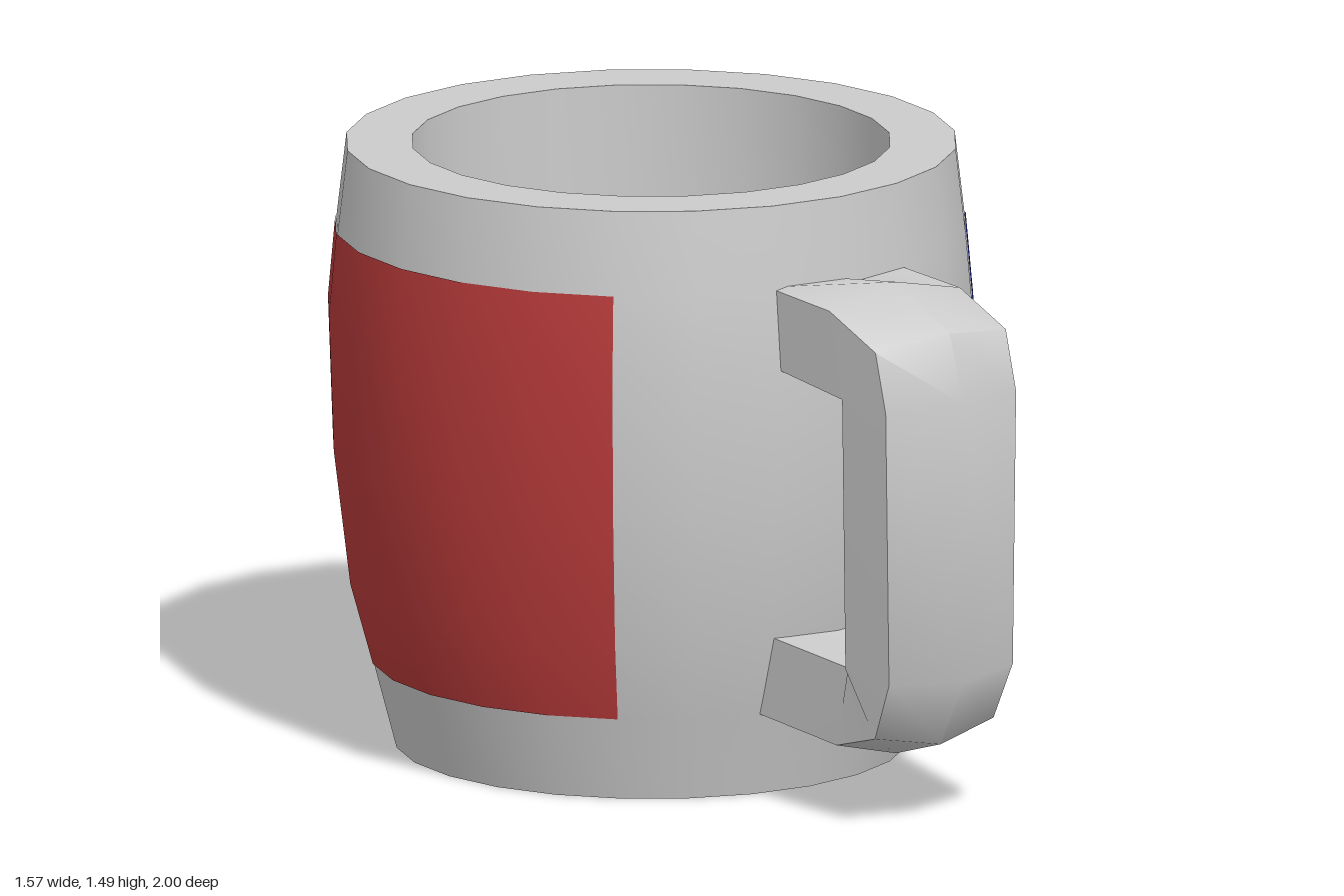
import * as THREE from 'three';
import { toCreasedNormals } from 'three/addons/utils/BufferGeometryUtils.js';

const SIDES = 24;
const CUP_Z = -0.22;
const FILL_Y = 0.6;
const material = (color, side = THREE.FrontSide) => new THREE.MeshStandardMaterial({ color, side });

// Barrel-shaped outer wall, [radius, height]
const WALL = [[0.62, 0], [0.675, 0.21], [0.73, 0.41], [0.77, 0.74], [0.782, 1.08], [0.764, 1.28], [0.74, 1.485]];

function addMesh(group, name, geometry, mat) {
  const mesh = new THREE.Mesh(geometry, mat);
  mesh.name = name;
  group.add(mesh);
  return mesh;
}

function lathe(points, segments, start, length) {
  return new THREE.LatheGeometry(points.map(([r, y]) => new THREE.Vector2(r, y)), segments, start, length);
}

// Ridged handle: hexagonal sections swept from the upper joint to the lower one
function handleGeometry() {
  // half width, then [z, y] of outer ridge, outer edge, inner edge, inner ridge
  const innerTop = [[0.78, 1.06], [0.73, 1.06]];
  const innerBottom = [[0.78, 0.39], [0.73, 0.39]];
  const stations = [
    [0.195, [0.48, 1.277], [0.48, 1.282], [0.48, 1.09], [0.48, 1.09]],
    [0.2, [0.74, 1.315], [0.73, 1.27], ...innerTop],
    [0.2, [0.945, 1.225], [0.91, 1.2], ...innerTop],
    [0.2, [1.0, 1.06], [0.95, 1.055], ...innerTop],
    [0.19, [1.0, 0.37], [0.95, 0.38], ...innerBottom],
    [0.182, [0.91, 0.2], [0.885, 0.235], ...innerBottom],
    [0.178, [0.735, 0.145], [0.73, 0.19], ...innerBottom],
    [0.178, [0.4, 0.217], [0.4, 0.213], [0.43, 0.413], [0.43, 0.413]],
  ];
  const rings = stations.map(([w, ridge, edge, inner, innerRidge]) => [
    [0, ridge], [w, edge], [w, inner], [0, innerRidge], [-w, inner], [-w, edge],
  ].map(([x, [z, y]]) => new THREE.Vector3(x, y, z)));

  const positions = [];
  const tri = (a, b, c) => {
    const area = b.clone().sub(a).cross(c.clone().sub(a)).length();
    if (area > 1e-6) for (const p of [a, b, c]) positions.push(p.x, p.y, p.z);
  };
  for (let i = 0; i < rings.length - 1; i++) {
    for (let j = 0; j < 6; j++) {
      const k = (j + 1) % 6;
      const [a, b, c, d] = [rings[i][j], rings[i][k], rings[i + 1][k], rings[i + 1][j]];
      tri(a, d, c);
      tri(a, c, b);
    }
  }
  const geometry = new THREE.BufferGeometry();
  geometry.setAttribute('position', new THREE.Float32BufferAttribute(positions, 3));
  return toCreasedNormals(geometry, THREE.MathUtils.degToRad(50));
}

export function createModel() {
  const group = new THREE.Group();
  group.name = 'mug';
  const grey = material(0xcccccc);

  // Cup: base, bulging wall, flat rim and straight inside
  const profile = [[0, 0], ...WALL, [0.58, 1.485], [0.58, FILL_Y]];
  const cup = toCreasedNormals(lathe(profile, SIDES), THREE.MathUtils.degToRad(40));
  addMesh(group, 'cup', cup, grey).position.z = CUP_Z;

  // Dark drink closing the inside
  const drink = new THREE.CircleGeometry(0.58, SIDES).rotateX(-Math.PI / 2);
  addMesh(group, 'drink', drink, material(0x0d0d0d)).position.set(0, FILL_Y, CUP_Z);

  // Coloured panels, a quarter turn each, lying on the wall
  const panelProfile = WALL.slice(1, 6).map(([r, y]) => [r + 0.003, y]);
  for (const [name, color, start] of [
    ['leftPanel', 0x2b39c0, Math.PI / 4],
    ['rightPanel', 0xb83a3a, Math.PI * 5 / 4],
  ]) {
    const panel = lathe(panelProfile, SIDES / 4, start, Math.PI / 2);
    addMesh(group, name, panel, material(color, THREE.DoubleSide)).position.z = CUP_Z;
  }

  addMesh(group, 'handle', handleGeometry(), grey);
  return group;
}
